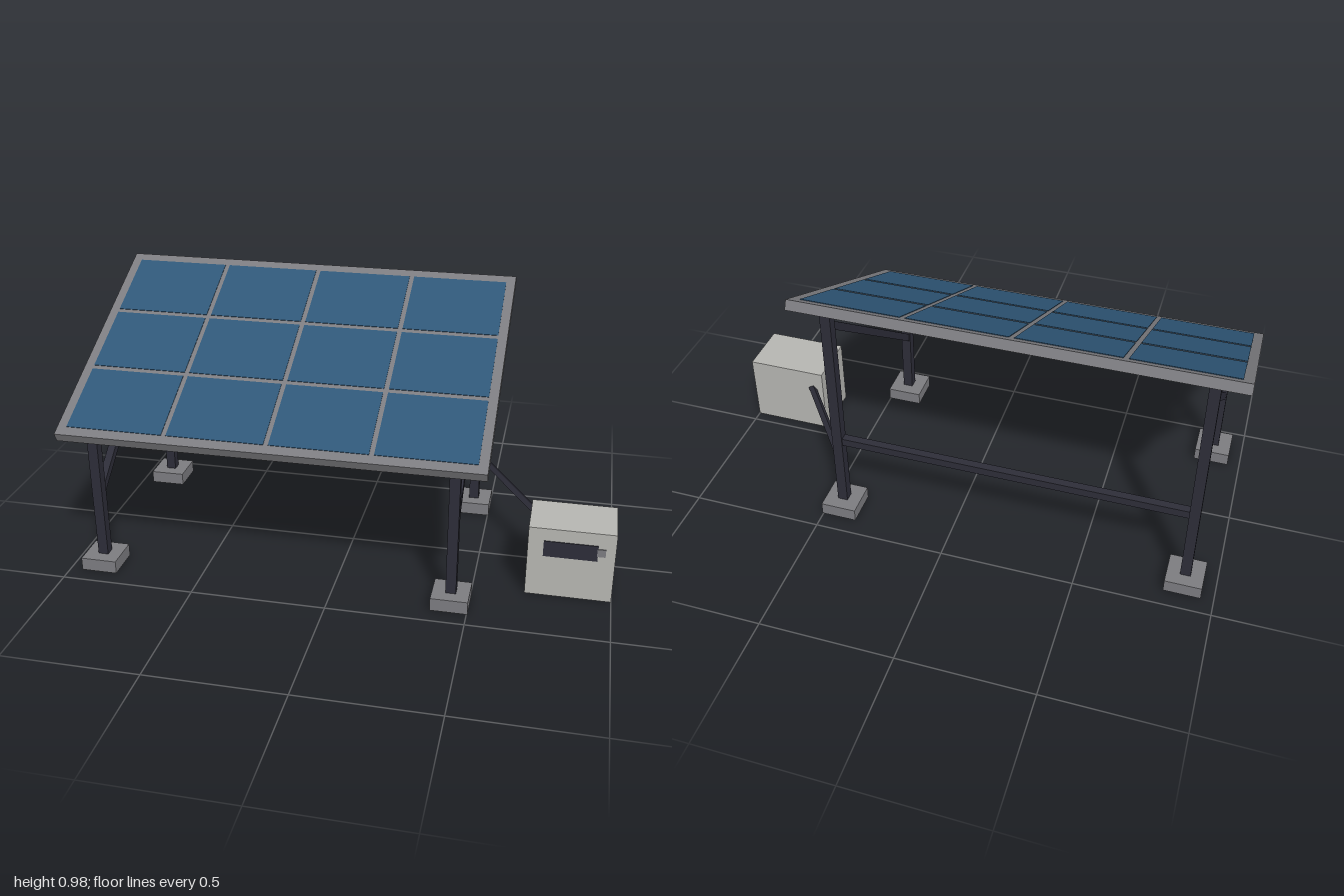
import * as THREE from 'three';

const mat = (name, color) => {
  const m = new THREE.MeshStandardMaterial({ color });
  m.name = name;
  return m;
};

export function createModel() {
  const root = new THREE.Group();
  root.name = 'solarArray';
  const grey = mat('frameGrey', 0x7c7c80);
  const dark = mat('darkSteel', 0x2d2d38);
  const blue = mat('cellBlue', 0x2f5778);
  const pale = mat('cabinetGrey', 0xb6b6b2);

  const box = (name, material, size, pos, parent = root) => {
    const mesh = new THREE.Mesh(new THREE.BoxGeometry(...size), material);
    mesh.name = name;
    mesh.position.set(...pos);
    parent.add(mesh);
    return mesh;
  };

  // Square bar running between two points
  const bar = (name, a, b, w) => {
    const p = new THREE.Vector3(...a), q = new THREE.Vector3(...b);
    const mesh = box(name, dark, [w, p.distanceTo(q), w], p.clone().lerp(q, 0.5).toArray());
    mesh.quaternion.setFromUnitVectors(new THREE.Vector3(0, 1, 0), q.sub(p).normalize());
    return mesh;
  };

  // Tilted panel with a grid of cells
  const panel = new THREE.Group();
  panel.name = 'panel';
  panel.position.set(-0.225, 0.757, 0);
  panel.rotation.x = 0.447;
  root.add(panel);
  box('panelFrame', grey, [1.55, 0.037, 0.97], [0, 0, 0], panel);
  for (let i = 0; i < 4; i++) {
    for (let j = 0; j < 3; j++) {
      box('cell', blue, [0.357, 0.004, 0.286], [(i - 1.5) * 0.3745, 0.0185, (j - 1) * 0.304], panel);
    }
  }

  // Posts, footings and diagonal braces on both sides
  const zFront = 0.368, zBack = -0.367;
  for (const x of [-0.886, 0.436]) {
    for (const [name, z, top] of [['frontPost', zFront, 0.552], ['backPost', zBack, 0.905]]) {
      box('footing', grey, [0.135, 0.049, 0.135], [x, 0.0245, z]);
      box(name, dark, [0.038, top - 0.04, 0.038], [x, (top + 0.04) / 2, z]);
    }
    bar('diagonalBrace', [x, 0.293, zFront], [x, 0.863, zBack], 0.029);
  }

  // Rear cross beam
  box('crossBeam', dark, [1.322, 0.03, 0.03], [-0.225, 0.341, zBack]);

  // Conduit down the back post and across to the cabinet
  const elbow = [0.452, 0.247, -0.35];
  bar('conduitDrop', [0.436, 0.86, -0.36], elbow, 0.022);
  bar('conduitRun', elbow, [0.752, 0.194, 0.065], 0.022);

  // Control cabinet with display and button
  box('cabinet', pale, [0.31, 0.275, 0.21], [0.845, 0.1375, 0.146]);
  box('display', dark, [0.192, 0.062, 0.006], [0.842, 0.195, 0.251]);
  box('button', grey, [0.03, 0.03, 0.008], [0.95, 0.199, 0.251]);

  return root;
}
